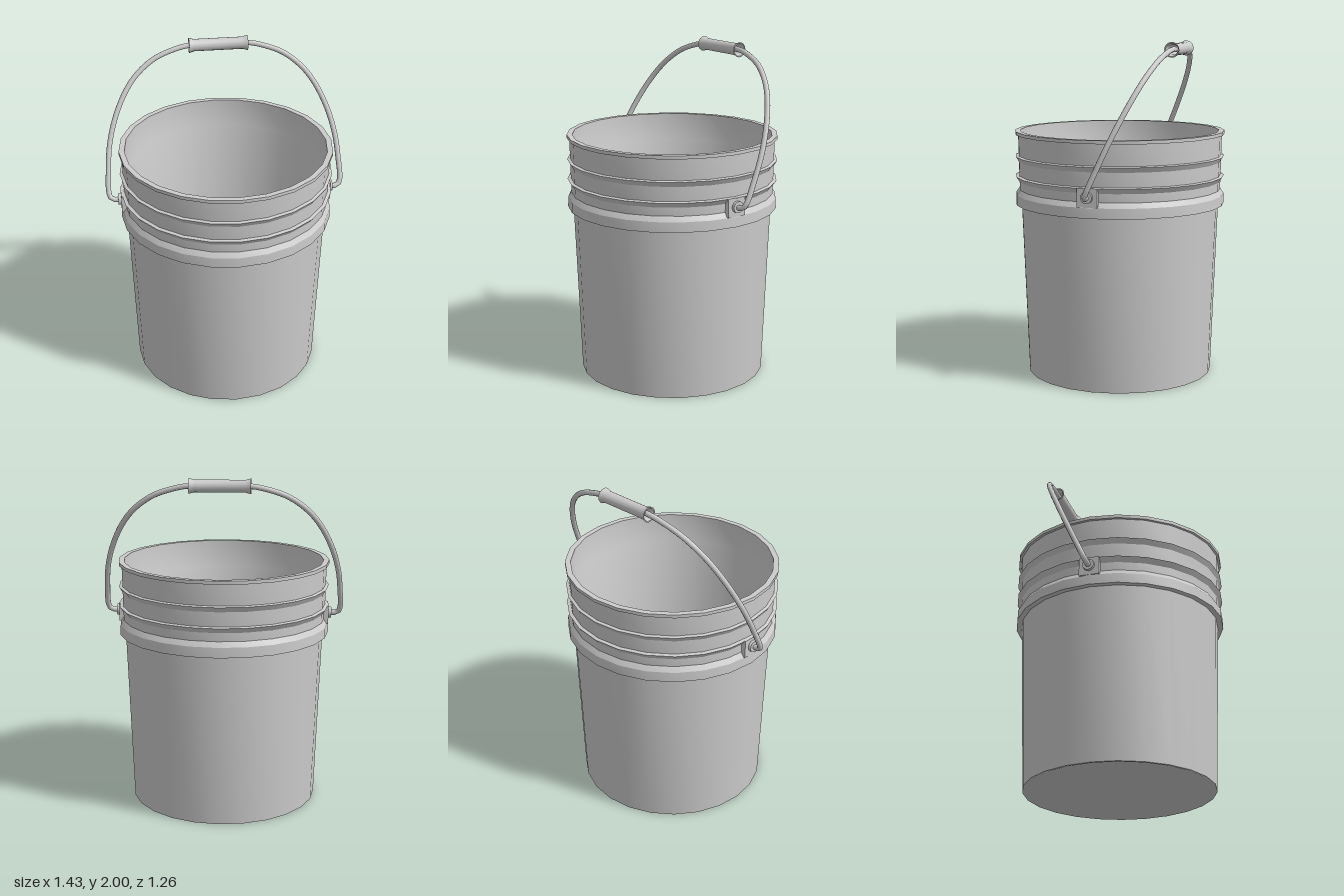
import * as THREE from 'three';
import { toCreasedNormals } from 'three/addons/utils/BufferGeometryUtils.js';

const material = new THREE.MeshStandardMaterial({ color: 0xcccccc });
const PIVOT_Y = 1.15;

function addMesh(parent, name, geometry) {
  const mesh = new THREE.Mesh(geometry, material);
  mesh.name = name;
  parent.add(mesh);
  return mesh;
}

function lathe(points, segments) {
  const profile = points.map(([r, y]) => new THREE.Vector2(r, y));
  return toCreasedNormals(new THREE.LatheGeometry(profile, segments), 0.45);
}

// Closed wall profile: recessed base, outside with ribs, rim, inside, floor
function makeBucket() {
  return lathe([
    [0, 0.04], [0.41, 0.04], [0.545, 0], [0.56, 0],
    [0.597, 1.03], [0.63, 1.03], [0.628, 1.09], [0.608, 1.12],
    [0.609, 1.17], [0.63, 1.2], [0.61, 1.205],
    [0.612, 1.29], [0.63, 1.32], [0.612, 1.325],
    [0.615, 1.45], [0.63, 1.45], [0.63, 1.47],
    [0.597, 1.47], [0.59, 1.3], [0.58, 1.27], [0.545, 0.05], [0, 0.05],
  ], 24);
}

// Bail wire: half outline mirrored, lying in the plane y-z before tilting
function makeWire() {
  const half = [
    [0.61, 0], [0.665, -0.002], [0.69, 0.01], [0.7, 0.045], [0.695, 0.16],
    [0.678, 0.32], [0.635, 0.48], [0.565, 0.632], [0.49, 0.732],
    [0.385, 0.816], [0.27, 0.863], [0.175, 0.884],
  ];
  const mirrored = half.map(([x, y]) => [-x, y]).reverse();
  const path = [...half, [0, 0.884], ...mirrored]
    .map(([x, y]) => new THREE.Vector3(x, y, 0));
  return new THREE.TubeGeometry(new THREE.CatmullRomCurve3(path), 96, 0.016, 10);
}

// Hollow grip with flared ends
function makeGrip() {
  return lathe([
    [0.03, -0.175], [0.045, -0.175], [0.036, -0.145], [0.036, 0.145],
    [0.045, 0.175], [0.038, 0.175], [0.029, 0.145], [0.029, -0.145],
    [0.038, -0.175], [0.045, -0.175],
  ].slice(1), 16);
}

export function createModel() {
  const model = new THREE.Group();
  model.name = 'bucket';
  addMesh(model, 'bucketBody', makeBucket());

  // Handle mounts on both sides
  for (const [side, s] of [['left', 1], ['right', -1]]) {
    const mount = new THREE.Group();
    mount.name = side + 'HandleMount';
    const plate = addMesh(mount, side + 'MountPlate', new THREE.BoxGeometry(0.03, 0.11, 0.12));
    plate.position.set(s * 0.614, 1.147, 0);
    const boss = addMesh(mount, side + 'MountBoss', new THREE.CylinderGeometry(0.034, 0.034, 0.04, 16));
    boss.rotation.z = Math.PI / 2;
    boss.position.set(s * 0.627, PIVOT_Y, 0);
    model.add(mount);
  }

  // Handle leans towards the back
  const handle = new THREE.Group();
  handle.name = 'handle';
  addMesh(handle, 'handleWire', makeWire());
  const grip = addMesh(handle, 'handleGrip', makeGrip());
  grip.rotation.z = Math.PI / 2;
  grip.position.y = 0.884;
  handle.position.y = PIVOT_Y;
  handle.rotation.x = -Math.atan2(0.365, 0.805);
  model.add(handle);
  return model;
}
